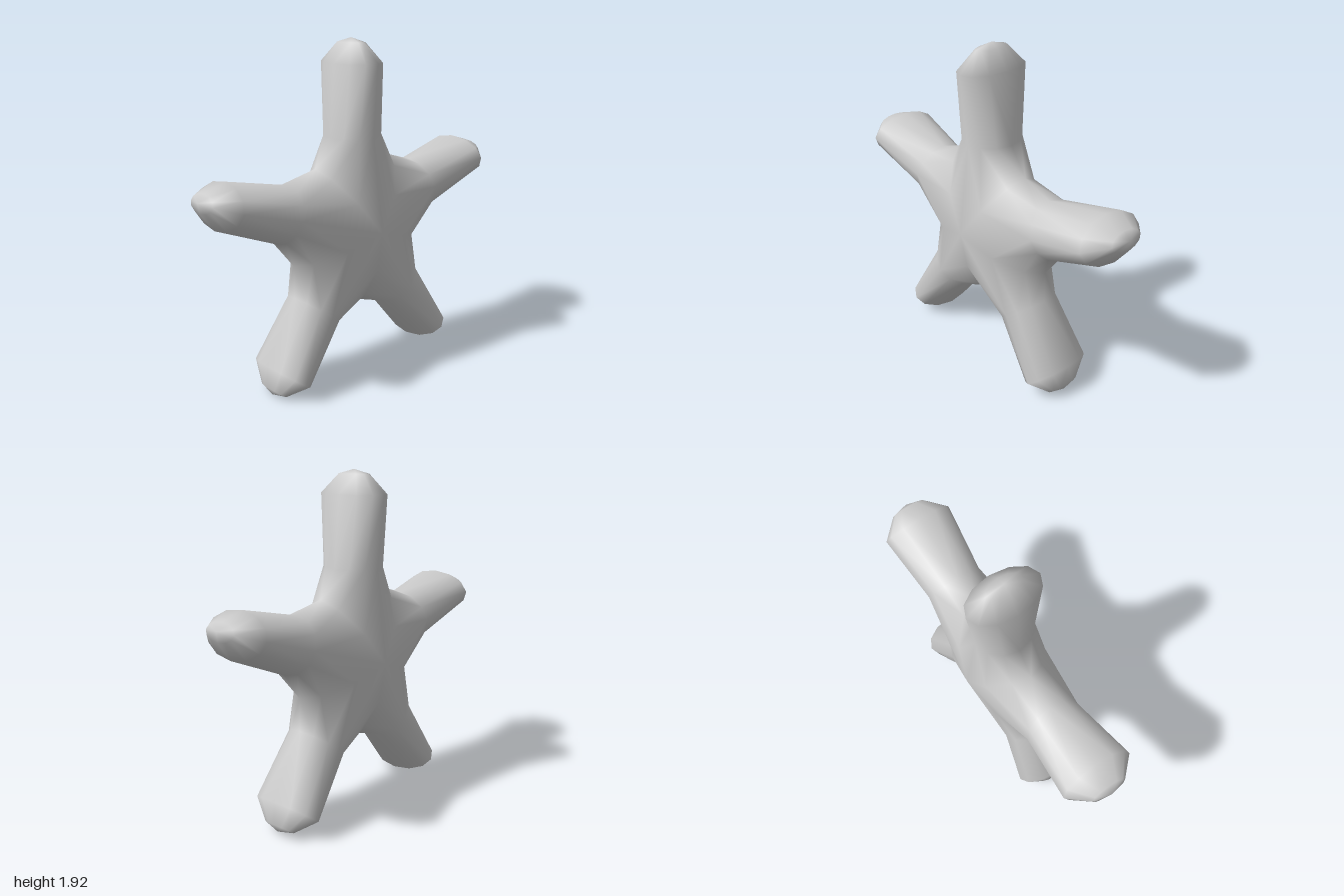
import * as THREE from 'three';
import { mergeVertices } from 'three/addons/utils/BufferGeometryUtils.js';

const ARMS = 5;
const SIDES = 12;                 // points around each arm
const VALLEY = 0.46;              // distance from centre to the notch between arms
const APEX = 0.24;                // half thickness at the centre
// arm rings: [distance from centre, half width, half thickness]
const RINGS = [[0.525, 0.16, 0.17], [0.92, 0.125, 0.21], [1.025, 0.05, 0.1], [1.05, 0, 0]];

// cross-section point: row 0 follows the valleys shared with the neighbouring arms
function armPoint(row, j, angle) {
  const t = ((j % SIDES) / SIDES) * Math.PI * 2;
  const c = Math.cos(t), s = Math.sin(t);
  let along, across, z;
  if (row === 0) {
    const r = VALLEY * Math.abs(c);
    along = r * Math.cos(Math.PI / ARMS);
    across = r * Math.sin(Math.PI / ARMS) * Math.sign(c);
    z = APEX * Math.sign(s) * Math.abs(s) ** 1.3;
  } else {
    const [r, w, d] = RINGS[row - 1];
    along = r;
    across = w * c;
    z = d * s;
  }
  return [
    along * Math.cos(angle) - across * Math.sin(angle),
    along * Math.sin(angle) + across * Math.cos(angle),
    z,
  ];
}

export function createModel() {
  const positions = [];
  const tri = (a, b, c) => positions.push(...a, ...b, ...c);

  // five arms, skinned from the valleys out to the tip
  for (let k = 0; k < ARMS; k++) {
    const angle = Math.PI / 2 + 0.016 + (k * Math.PI * 2) / ARMS;
    for (let row = 0; row < RINGS.length; row++) {
      for (let j = 0; j < SIDES; j++) {
        const a = armPoint(row, j, angle), b = armPoint(row, j + 1, angle);
        const c = armPoint(row + 1, j + 1, angle), d = armPoint(row + 1, j, angle);
        if (row === RINGS.length - 1) {
          tri(a, b, c);                       // closing fan at the tip
        } else if (Math.floor((j * 4) / SIDES) % 2 === 0) {
          tri(a, b, c); tri(a, c, d);         // diagonals mirrored by quadrant
        } else {
          tri(a, b, d); tri(b, c, d);
        }
      }
    }
  }

  // weld the arms into one smooth skin
  let geometry = new THREE.BufferGeometry();
  geometry.setAttribute('position', new THREE.Float32BufferAttribute(positions, 3));
  geometry = mergeVertices(geometry, 1e-4);
  geometry.computeBoundingBox();
  const box = geometry.boundingBox;
  geometry.translate(-(box.min.x + box.max.x) / 2, -box.min.y, 0);
  geometry.computeVertexNormals();

  const body = new THREE.Mesh(geometry, new THREE.MeshStandardMaterial({ color: 0xcccccc }));
  body.name = 'starfishBody';
  const group = new THREE.Group();
  group.name = 'starfish';
  group.add(body);
  return group;
}
